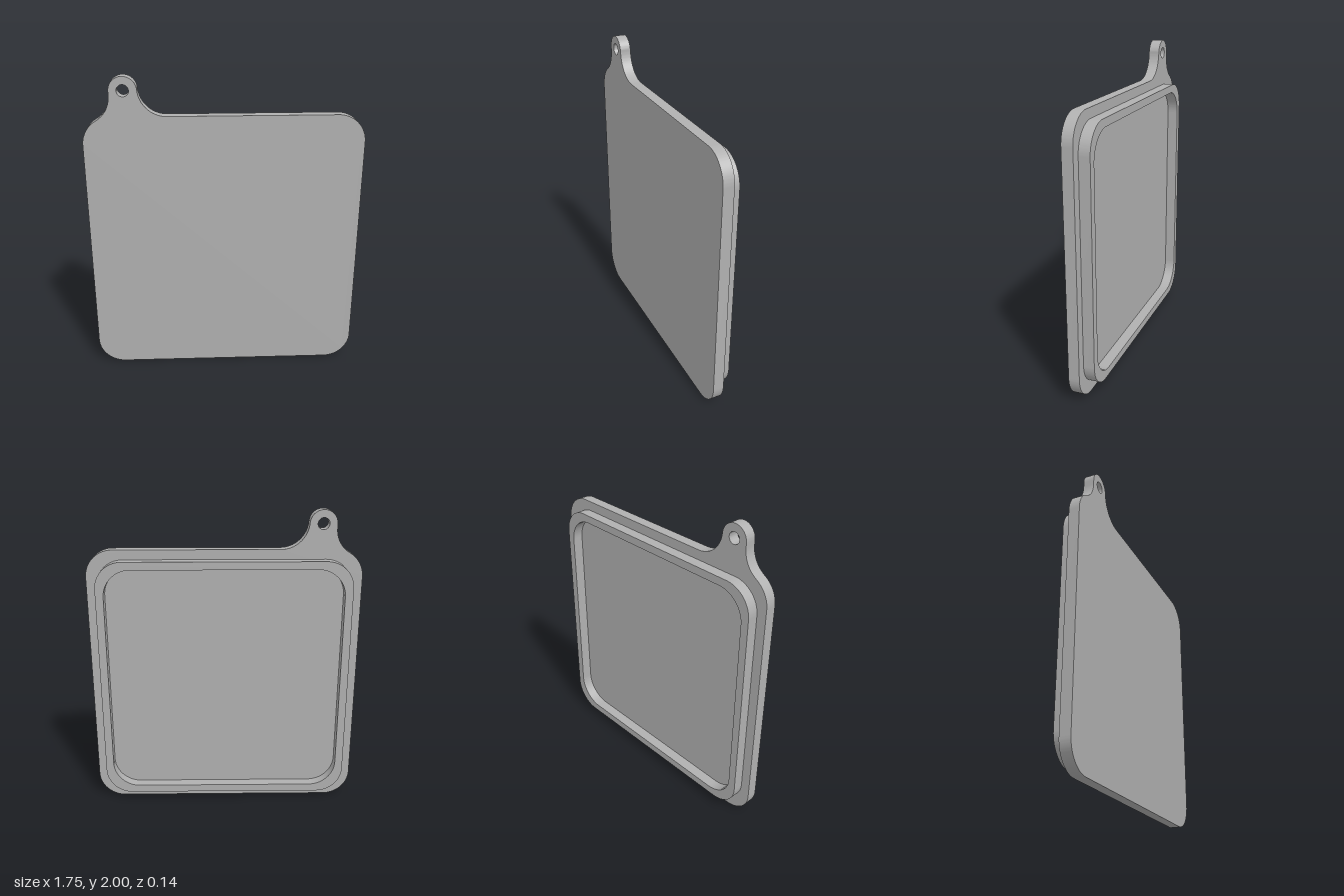
import * as THREE from 'three';
import { toCreasedNormals } from 'three/addons/utils/BufferGeometryUtils.js';

const R = 0.175;      // shared corner and fillet radius
const HALF = 0.877;   // half width of the plate
const MID = HALF;     // height of the plate centre
const DEPTH = 0.07;   // thickness of each layer

// Rounded square outline centred on the plate
function roundedSquare(path, half, r) {
  const c = half - r;
  path.absarc(c, MID - c, r, -Math.PI / 2, 0, false);
  path.absarc(c, MID + c, r, 0, Math.PI / 2, false);
  path.absarc(-c, MID + c, r, Math.PI / 2, Math.PI, false);
  path.absarc(-c, MID - c, r, Math.PI, Math.PI * 1.5, false);
  path.closePath();
  return path;
}

// Plate outline with the hanging tab blended into its top left corner
function plateShape() {
  const c = HALF - R;
  const tabX = -0.616, tabR = 0.086, tabY = 2 - tabR;
  const s = new THREE.Shape();
  s.absarc(c, MID - c, R, -Math.PI / 2, 0, false);
  s.absarc(c, MID + c, R, 0, Math.PI / 2, false);
  // fillet up to the tab, round tab end
  s.absarc(tabX + tabR + R, 2 * HALF + R, R, Math.PI * 1.5, Math.PI, true);
  s.absarc(tabX, tabY, tabR, 0, Math.PI, false);
  // fillet tangent to the plate's corner arc
  const fx = tabX - tabR - R;
  const dx = fx + c, dy = Math.sqrt(4 * R * R - dx * dx);
  const a = Math.atan2(dy, dx);
  s.absarc(fx, MID + c + dy, R, 0, a - Math.PI, true);
  s.absarc(-c, MID + c, R, a, Math.PI, false);
  s.absarc(-c, MID - c, R, Math.PI, Math.PI * 1.5, false);
  s.closePath();
  s.holes.push(new THREE.Path().absarc(tabX, tabY, 0.037, 0, Math.PI * 2, true));
  return s;
}

function extrude(name, shape, z, material) {
  const geometry = new THREE.ExtrudeGeometry(shape, { depth: DEPTH, bevelEnabled: false, curveSegments: 20 });
  const mesh = new THREE.Mesh(toCreasedNormals(geometry, 0.6), material);
  mesh.name = name;
  mesh.position.z = z;
  return mesh;
}

export function createModel() {
  const group = new THREE.Group();
  group.name = 'lid';
  const grey = new THREE.MeshStandardMaterial({ color: 0xb0b0b0 });
  grey.name = 'grey';

  // Front plate with hanging tab
  group.add(extrude('plateWithTab', plateShape(), 0, grey));

  // Raised rim on the back
  const rim = roundedSquare(new THREE.Shape(), 0.8145, R);
  rim.holes.push(roundedSquare(new THREE.Path(), 0.763, R));
  group.add(extrude('backRim', rim, -DEPTH, grey));

  return group;
}
